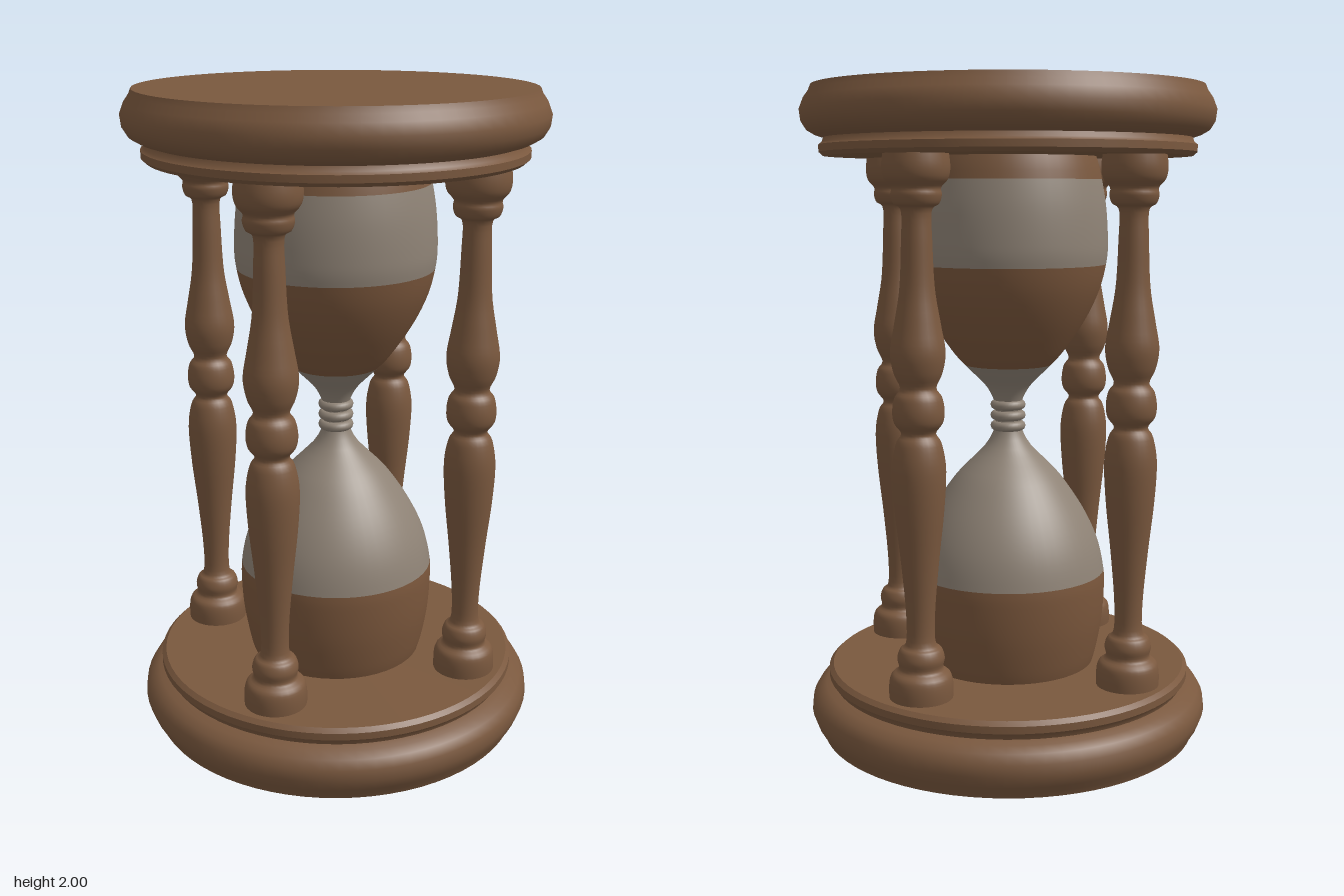
import * as THREE from 'three';
import { toCreasedNormals } from 'three/addons/utils/BufferGeometryUtils.js';

const vec = (list) => list.map(([r, y]) => new THREE.Vector2(r, y));
const smooth = (list, n) => new THREE.SplineCurve(vec(list)).getPoints(n);

export function createModel() {
  const wood = new THREE.MeshStandardMaterial({ name: 'wood', color: 0x7a583e });
  const sand = new THREE.MeshStandardMaterial({ name: 'sand', color: 0x7b573c });
  const glass = new THREE.MeshStandardMaterial({ name: 'glass', color: 0x8f8376 });
  const model = new THREE.Group();
  model.name = 'hourglass';

  const add = (name, geometry, material, parent = model) => {
    const mesh = new THREE.Mesh(geometry, material);
    mesh.name = name;
    parent.add(mesh);
    return mesh;
  };

  // End plates: rounded rim with a stepped lip facing the bulbs
  const rim = [
    [0.597, 0.018], [0.612, 0.04], [0.625, 0.075], [0.621, 0.11], [0.605, 0.137],
    [0.58, 0.152], [0.555, 0.16], [0.56, 0.174], [0.57, 0.182], [0.57, 0.204], [0.557, 0.216],
  ];
  const basePts = [[0, 0], [0.59, 0], ...rim, [0, 0.216]];
  const topPts = basePts.map(([r, y]) => [r, 2 - y * 0.955]).reverse();
  const plate = (pts) => toCreasedNormals(new THREE.LatheGeometry(vec(pts), 72), 0.7);
  add('basePlate', plate(basePts), wood);
  add('topPlate', plate(topPts), wood);

  // Four turned posts
  const postCurve = smooth([
    [0.094, 0.2], [0.095, 0.25], [0.088, 0.285], [0.066, 0.305], [0.07, 0.335], [0.062, 0.362],
    [0.043, 0.385], [0.043, 0.48], [0.056, 0.63], [0.072, 0.78], [0.078, 0.9], [0.066, 0.975],
    [0.05, 1.005], [0.07, 1.035], [0.075, 1.07], [0.068, 1.11], [0.052, 1.137], [0.07, 1.18],
    [0.079, 1.24], [0.066, 1.32], [0.05, 1.42], [0.044, 1.55], [0.043, 1.635], [0.064, 1.655],
    [0.072, 1.68], [0.07, 1.7], [0.09, 1.725], [0.096, 1.76], [0.09, 1.81],
  ], 110);
  const postGeometry = new THREE.LatheGeometry(postCurve, 28);
  for (let i = 0; i < 4; i++) {
    const a = (i * Math.PI) / 2;
    add('post' + (i + 1), postGeometry, wood).position.set(0.443 * Math.cos(a), 0, 0.443 * Math.sin(a));
  }

  // Bulb radius against distance from the neck
  const bulb = smooth([
    [0.04, 0], [0.042, 0.04], [0.067, 0.09], [0.115, 0.14], [0.167, 0.195], [0.235, 0.295],
    [0.28, 0.39], [0.302, 0.48], [0.305, 0.55], [0.298, 0.65], [0.28, 0.75], [0.262, 0.81],
  ], 160);
  const radiusAt = (d) => {
    const i = Math.max(1, bulb.findIndex((p) => p.y >= d));
    const [a, b] = [bulb[i - 1], bulb[i]];
    return THREE.MathUtils.mapLinear(d, a.y, b.y, a.x, b.x);
  };

  // Bands of sand and glass share the bulb's profile
  const bands = [
    ['lowerSand', 0.2, 0.51, sand], ['lowerGlass', 0.51, 1.0, glass],
    ['upperNeckGlass', 1.0, 1.16, glass], ['upperSand', 1.16, 1.47, sand],
    ['upperGlass', 1.47, 1.725, glass], ['upperCollar', 1.725, 1.805, wood],
  ];
  for (const [name, y0, y1, material] of bands) {
    const pts = [];
    for (let i = 0; i <= 20; i++) {
      const y = y0 + ((y1 - y0) * i) / 20;
      pts.push(new THREE.Vector2(radiusAt(Math.abs(y - 1)), y));
    }
    add(name, new THREE.LatheGeometry(pts, 48), material);
  }

  // Rings around the neck
  const ringGeometry = new THREE.TorusGeometry(0.04, 0.015, 10, 32).rotateX(Math.PI / 2);
  for (let i = -1; i <= 1; i++) {
    add('neckRing', ringGeometry, glass).position.y = 1 + i * 0.033;
  }
  return model;
}
